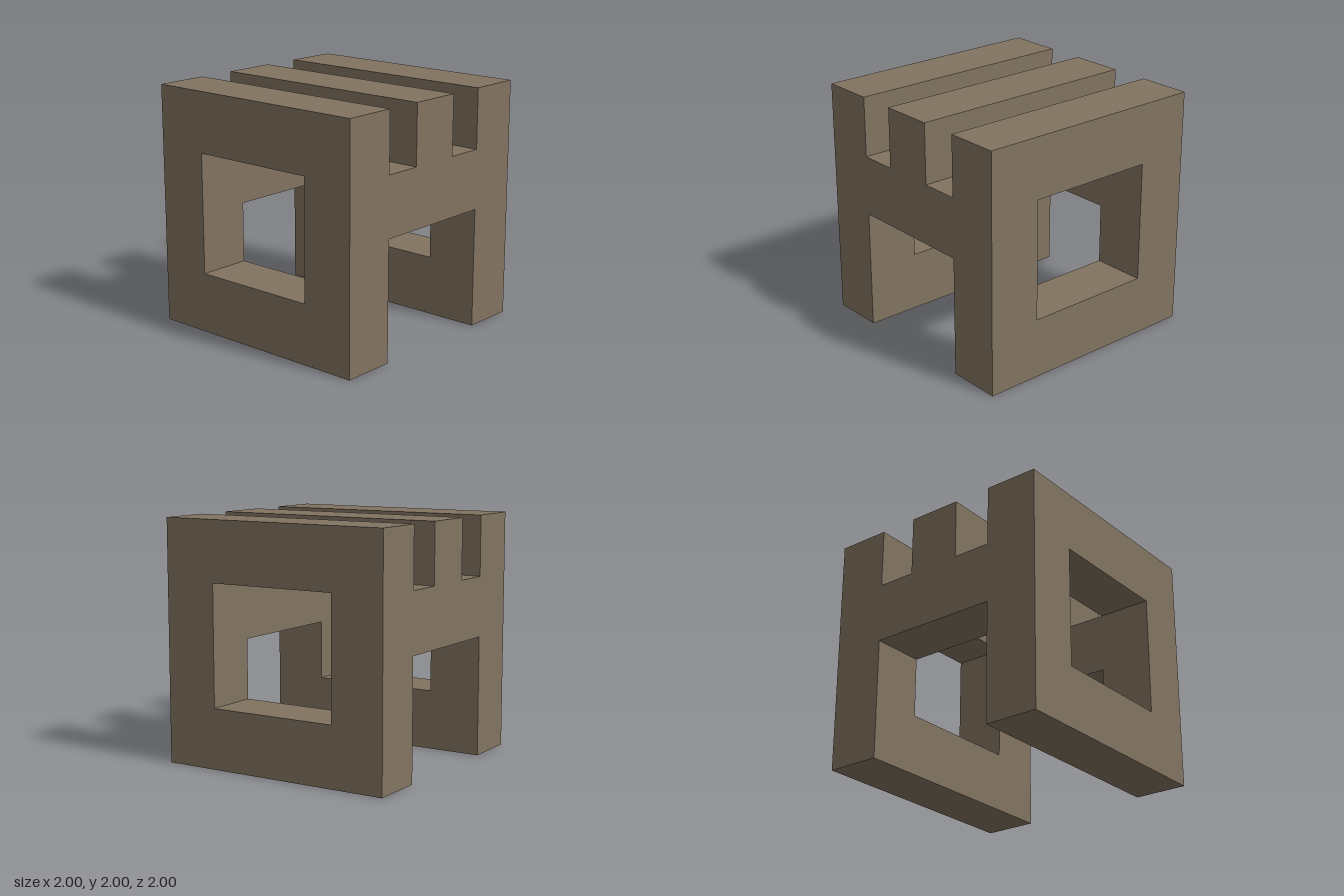
import * as THREE from 'three';

export function createModel() {
  const model = new THREE.Group();
  model.name = 'openBlockFrame';
  const material = new THREE.MeshStandardMaterial({ color: 0x827361, flatShading: true });

  const HALF = 1;       // half of the overall width and depth
  const INNER = 0.55;   // half of the inner opening
  const BAR = HALF - INNER;

  function add(name, geometry, x, y, z) {
    const mesh = new THREE.Mesh(geometry, material);
    mesh.name = name;
    mesh.position.set(x, y, z);
    model.add(mesh);
  }

  // Square end frame with a rectangular window
  const outline = new THREE.Shape([
    new THREE.Vector2(-HALF, 0), new THREE.Vector2(HALF, 0),
    new THREE.Vector2(HALF, 2), new THREE.Vector2(-HALF, 2),
  ]);
  outline.holes.push(new THREE.Path([
    new THREE.Vector2(-INNER, 0.5), new THREE.Vector2(-INNER, 1.5),
    new THREE.Vector2(INNER, 1.5), new THREE.Vector2(INNER, 0.5),
  ]));
  const frame = new THREE.ExtrudeGeometry(outline, { depth: BAR, bevelEnabled: false });
  add('frontFrame', frame, 0, 0, INNER);
  add('backFrame', frame, 0, 0, -HALF);

  // Side rails joining the two frames
  const rail = new THREE.BoxGeometry(BAR, 0.5, 2 * INNER);
  add('leftRail', rail, HALF - BAR / 2, 1.25, 0);
  add('rightRail', rail, -HALF + BAR / 2, 1.25, 0);

  // Middle beam resting across the rails
  add('middleBeam', new THREE.BoxGeometry(2 * HALF, 0.5, 0.455), 0, 1.75, 0);

  return model;
}
